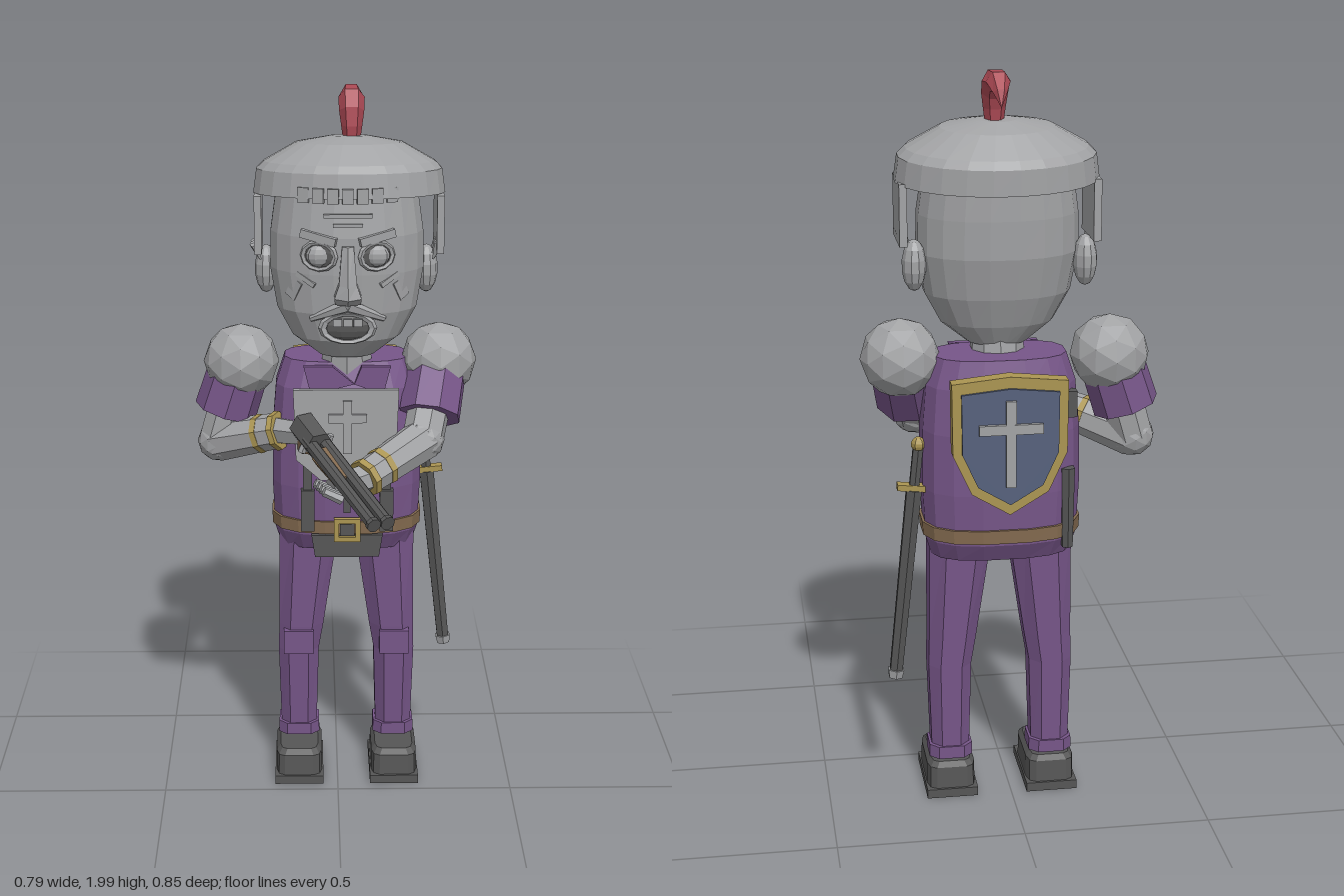
import * as THREE from 'three';

const C = 0.026; // body centre line in x
const V = (x, y, z) => new THREE.Vector3(x, y, z);

// Faceted solid through rings of [y, xCentre, halfWidth, zCentre, halfDepth]; p < 1 squares the rings off
function loft(rings, n = 16, p = 1) {
  const out = [];
  const pow = t => Math.sign(t) * Math.pow(Math.abs(t), p);
  const at = ([y, x, w, z, d], j) => {
    const a = (j % n + 0.5) / n * Math.PI * 2;
    return [x + w * pow(Math.cos(a)), y, z + d * pow(Math.sin(a))];
  };
  const first = rings[0], last = rings[rings.length - 1];
  for (let j = 0; j < n; j++) {
    for (let i = 0; i < rings.length - 1; i++) {
      const a = at(rings[i], j), b = at(rings[i], j + 1), c = at(rings[i + 1], j), d = at(rings[i + 1], j + 1);
      out.push(...a, ...c, ...b, ...b, ...c, ...d);
    }
    out.push(first[1], first[0], first[3], ...at(first, j), ...at(first, j + 1));
    out.push(last[1], last[0], last[3], ...at(last, j + 1), ...at(last, j));
  }
  const g = new THREE.BufferGeometry();
  g.setAttribute('position', new THREE.Float32BufferAttribute(out, 3));
  return g;
}

// Tapered prism from point a to point b
function limb(a, b, ra, rb, sides = 8) {
  const d = b.clone().sub(a), g = new THREE.CylinderGeometry(rb, ra, d.length(), sides);
  g.applyQuaternion(new THREE.Quaternion().setFromUnitVectors(V(0, 1, 0), d.normalize()));
  const m = a.clone().add(b).multiplyScalar(0.5);
  return g.translate(m.x, m.y, m.z);
}

const box = (w, h, d) => new THREE.BoxGeometry(w, h, d);
const ball = (x, y, z, n = 10) => new THREE.SphereGeometry(1, n, 7).scale(x, y, z);
function plate(points, depth) {
  const s = new THREE.Shape(points.map(([x, y]) => new THREE.Vector2(x, y)));
  return new THREE.ExtrudeGeometry(s, { depth, bevelEnabled: false });
}

export function createModel() {
  const root = new THREE.Group();
  const mat = (name, color) => Object.assign(new THREE.MeshStandardMaterial({ color }), { name });
  const steel = mat('steel grey', 0xa2a3a5), plum = mat('plum cloth', 0x775689), dark = mat('dark grey', 0x565656);
  const gold = mat('gold', 0xab9552), leather = mat('leather', 0x846b50), blue = mat('slate blue', 0x56617c), red = mat('red', 0xad4a55);

  const add = (name, geo, m, pos = [0, 0, 0], rot = [0, 0, 0]) => {
    const g = geo.index ? geo.toNonIndexed() : geo;
    g.computeVertexNormals(); // flat facets
    const mesh = new THREE.Mesh(g, m);
    mesh.name = name;
    mesh.position.set(...pos);
    mesh.rotation.set(...rot);
    root.add(mesh);
    return mesh;
  };

  // Legs and boots
  for (const s of [-1, 1]) {
    const x = C + s * 0.138;
    add('sole', box(0.14, 0.025, 0.235), dark, [x, 0.0125, -0.152]);
    add('boot', loft([[0.025, x, 0.067, -0.152, 0.112], [0.085, x, 0.066, -0.152, 0.108], [0.1, x, 0.055, -0.155, 0.095]], 12, 0.35), dark);
    add('trouserLeg', loft([[0.11, x, 0.054, -0.195, 0.056], [0.38, x, 0.062, -0.19, 0.07],
      [0.46, C + s * 0.13, 0.068, -0.188, 0.074], [0.78, C + s * 0.105, 0.092, -0.19, 0.085]], 8, 0.8), plum);
    add('ankleCuff', loft([[0.11, x, 0.062, -0.195, 0.062], [0.145, x, 0.061, -0.195, 0.062]], 8, 0.6), plum);
    add('kneePad', box(0.085, 0.07, 0.03), plum, [x, 0.415, -0.122]);
  }

  // Tunic, belt and fittings
  add('tunic', loft([[0.71, C, 0.19, -0.2, 0.11], [0.76, C, 0.205, -0.2, 0.138], [0.9, C, 0.212, -0.2, 0.145],
    [1.06, C, 0.21, -0.2, 0.142], [1.18, C, 0.2, -0.2, 0.125], [1.255, C, 0.175, -0.205, 0.1]], 16, 0.75), plum);
  add('belt', loft([[0.768, C, 0.212, -0.2, 0.146], [0.805, C, 0.214, -0.2, 0.148]], 16, 0.75), leather);
  add('skirtFlap', plate([[-0.1, 0.765], [-0.09, 0.7], [0.09, 0.7], [0.1, 0.765]], 0.02), dark, [C, 0, -0.075]);
  for (const s of [-1, 1]) {
    add('buckleSide', box(0.014, 0.065, 0.014), gold, [C + s * 0.03, 0.785, -0.044]);
    add('buckleBar', box(0.074, 0.014, 0.014), gold, [C, 0.785 + s * 0.027, -0.044]);
    add('beltPouch', box(0.038, 0.12, 0.03), dark, [C + s * 0.11, 0.84, -0.06]);
    add('strap', box(0.025, 0.11, 0.015), dark, [C + s * 0.11, 0.94, -0.062]);
    add('collar', plate([[0.02, 1.2], [s * 0.1, 1.17], [s * 0.12, 1.25], [s * 0.04, 1.25]], 0.02), plum, [C, 0, -0.095]);
  }
  add('buckleCore', box(0.04, 0.035, 0.008), dark, [C, 0.785, -0.046]);
  for (let i = 0; i < 2; i++) add('button', box(0.02, 0.05, 0.012), dark, [C, 0.86 + i * 0.07, -0.052]);
  add('backSheath', limb(V(-0.14, 0.74, -0.31), V(-0.14, 0.96, -0.31), 0.016, 0.02, 6), dark);
  add('backPouch', box(0.05, 0.07, 0.03), dark, [-0.14, 1.13, -0.29]);

  // Chest plate with a raised cross
  add('chestPlate', plate([[-0.145, 1.2], [-0.138, 1.0], [-0.07, 0.94], [0.07, 0.94], [0.138, 1.0], [0.145, 1.2]], 0.016), steel, [C - 0.004, 0, -0.036]);
  add('chestBacking', box(0.24, 0.2, 0.05), steel, [C, 1.08, -0.06]);
  add('chestCrossUpright', box(0.024, 0.15, 0.009), steel, [C, 1.095, -0.015]);
  add('chestCrossArm', box(0.105, 0.024, 0.009), steel, [C, 1.12, -0.015]);

  // Shield on the back
  const heater = k => [[-0.15, 0.17], [0, 0.185], [0.15, 0.17], [0.148, -0.02], [0.1, -0.125], [0, -0.185], [-0.1, -0.125], [-0.148, -0.02]]
    .map(([x, y]) => [x * k, y * k]);
  add('shieldRim', plate(heater(1), 0.042), gold, [C, 1.055, -0.402]);
  add('shieldFace', plate(heater(0.84), 0.02), blue, [C, 1.055, -0.41]);
  add('shieldCrossUpright', box(0.026, 0.23, 0.012), steel, [C, 1.065, -0.414]);
  add('shieldCrossArm', box(0.165, 0.026, 0.012), steel, [C, 1.105, -0.415]);

  // Neck and head
  add('neck', loft([[1.19, C, 0.075, -0.17, 0.075], [1.3, C, 0.07, -0.16, 0.07]], 10), steel);
  add('head', loft([[1.275, C, 0.08, -0.155, 0.07], [1.33, C, 0.15, -0.15, 0.108], [1.41, C, 0.193, -0.155, 0.135],
    [1.52, C, 0.212, -0.164, 0.152], [1.62, C, 0.21, -0.166, 0.155], [1.76, C, 0.19, -0.175, 0.145]], 20, 0.92), steel);
  add('nose', loft([[1.445, C, 0.04, -0.01, 0.035], [1.465, C, 0.042, 0, 0.055], [1.5, C, 0.028, 0, 0.045],
    [1.6, C, 0.018, -0.015, 0.022]], 6), steel);
  for (const s of [-1, 1]) {
    const x = C + s * 0.077;
    add('brow', box(0.1, 0.022, 0.03), steel, [x, 1.622, -0.025], [0, s * 0.3, s * 0.22]);
    add('eyeSocket', ball(0.052, 0.042, 0.014), dark, [x, 1.573, -0.026], [0, s * 0.35, 0]);
    add('eyelid', new THREE.TorusGeometry(0.046, 0.008, 5, 12).scale(1, 0.8, 1), steel, [x, 1.573, -0.018], [0, s * 0.35, 0]);
    add('eye', ball(0.035, 0.03, 0.02), steel, [x, 1.573, -0.021]);
    add('cheekCrease', box(0.06, 0.013, 0.02), steel, [C + s * 0.11, 1.505, -0.04], [0, s * 0.5, s * 0.5]);
    add('cheekPatch', box(0.035, 0.055, 0.02), steel, [C + s * 0.14, 1.475, -0.062], [0, s * 0.7, s * 0.5]);
    add('moustache', limb(V(C, 1.44, -0.005), V(C + s * 0.1, 1.395, -0.04), 0.02, 0.008, 6), steel);
    add('ear', ball(0.032, 0.068, 0.038), steel, [C + s * 0.222, 1.495, -0.22]);
    // Helmet cheek flap with ragged lower edge
    add('cheekFlap', box(0.02, 0.16, 0.165), steel, [C + 0.006 + s * 0.248, 1.635, -0.2]);
    for (let i = 0; i < 3; i++)
      add('flapStrip', limb(V(C + s * 0.252, 1.58, -0.14 - i * 0.03), V(C + s * 0.236, 1.535 + i * 0.01, -0.15 - i * 0.03), 0.016, 0.003, 4), steel);
  }
  add('mouth', ball(0.068, 0.038, 0.02), dark, [C, 1.375, -0.027]);
  add('lips', new THREE.TorusGeometry(0.068, 0.012, 5, 14).scale(1, 0.58, 1), steel, [C, 1.375, -0.02]);
  for (let i = -1; i < 2; i++) add('tooth', box(0.024, 0.02, 0.012), steel, [C + i * 0.028, 1.392, -0.008]);
  add('browWrinkle', box(0.13, 0.01, 0.015), steel, [C, 1.68, -0.022]);
  add('frownLine', box(0.08, 0.009, 0.015), steel, [C, 1.655, -0.019]);

  // Helmet with a notched visor and plume
  add('helmet', loft([[-0.03, 0, 0.264, 0, 0.193], [0.035, 0, 0.255, 0, 0.188], [0.055, 0, 0.235, 0, 0.174],
    [0.105, 0, 0.147, 0, 0.11], [0.122, 0, 0.05, 0, 0.04]], 24), steel, [C + 0.007, 1.742, -0.208], [-0.07, 0, 0]);
  for (let i = -3; i <= 3; i++)
    add('visorTooth', box(0.03, 0.04, 0.02), steel, [C + i * 0.039, 1.733, -0.016 - i * i * 0.0035], [0, i * 0.1, 0]);
  const curve = new THREE.CatmullRomCurve3([V(0.04, 1.85, -0.215), V(0.04, 1.925, -0.22), V(0.04, 1.968, -0.255), V(0.04, 1.955, -0.305), V(0.04, 1.91, -0.34)]);
  const plume = new THREE.TubeGeometry(curve, 6, 0.036, 6), pp = plume.attributes.position;
  const taper = [0.65, 0.8, 0.95, 1, 0.85, 0.5, 0.02], v = V(0, 0, 0);
  for (let i = 0; i < pp.count; i++) {
    const r = Math.floor(i / 7), c = curve.getPointAt(r / 6);
    v.fromBufferAttribute(pp, i).sub(c).multiplyScalar(taper[r]).add(c);
    pp.setXYZ(i, v.x, v.y, v.z);
  }
  add('plume', plume, red);

  // Arms: shoulder ball, sleeve, forearm, gold cuffs, hand
  const arm = (side, sh, sl, el, wr, ha) => {
    add(side + 'Shoulder', new THREE.IcosahedronGeometry(0.106, 1), steel, sh.toArray());
    add(side + 'Sleeve', limb(sh, sl, 0.085, 0.088, 8), plum);
    add(side + 'UpperArm', limb(sh, el, 0.06, 0.058, 8), steel);
    add(side + 'Elbow', new THREE.IcosahedronGeometry(0.06, 1), steel, el.toArray());
    add(side + 'Forearm', limb(el, wr, 0.06, 0.05, 8), steel);
    for (const t of [0.72, 1]) {
      const a = el.clone().lerp(wr, t - 0.04), b = el.clone().lerp(wr, t + 0.04);
      add(side + 'Cuff', limb(a, b, 0.056, 0.054, 8), gold);
    }
    add(side + 'Hand', limb(wr, ha, 0.04, 0.034, 6), steel);
  };
  arm('right', V(-0.268, 1.236, -0.2), V(-0.315, 1.09, -0.2), V(-0.335, 1.005, -0.19), V(-0.165, 1.06, -0.1), V(-0.075, 1.075, -0.015));
  arm('left', V(0.284, 1.242, -0.188), V(0.255, 1.105, -0.09), V(0.235, 1.05, -0.045), V(0.075, 0.985, 0.09), V(-0.02, 0.965, 0.135));
  for (let i = 0; i < 4; i++) {
    const z = 0.115 + i * 0.023;
    add('leftFinger', limb(V(-0.01 + i * 0.006, 0.955, z), V(-0.065 + i * 0.008, 0.98, z + 0.005), 0.015, 0.013, 6), steel);
    add('rightFinger', limb(V(-0.1 + i * 0.02, 1.04, 0.03), V(-0.08 + i * 0.02, 1.09, 0.035), 0.012, 0.01, 6), steel);
  }

  // Double-barrelled gun
  const A = V(-0.095, 1.1, -0.02), B = V(0.103, 0.965, 0.405);
  const along = (t, o = 0, dy = 0) => A.clone().lerp(B, t).add(V(0.9 * o, dy, -0.42 * o));
  for (const s of [-1, 1]) {
    add('barrel', limb(along(0.15, s * 0.02), along(1, s * 0.02), 0.019, 0.017, 8), dark);
    add('muzzleRing', limb(along(0.98, s * 0.02), along(1.005, s * 0.02), 0.02, 0.02, 8), dark);
  }
  add('receiver', limb(along(0), along(0.22), 0.042, 0.04, 6), dark);
  add('foreStock', limb(along(0.26, 0, -0.018), along(0.55, 0, -0.016), 0.032, 0.026, 6), leather);
  add('gunGrip', limb(along(0.06), V(-0.09, 1.03, -0.02), 0.026, 0.022, 6), leather);

  // Sword at the left hip
  const top = V(0.245, 1.02, -0.24), tip = V(0.315, 0.36, -0.24);
  const sword = t => top.clone().lerp(tip, t);
  add('swordGrip', limb(sword(0.02), sword(0.18), 0.015, 0.015, 6), dark);
  add('pommel', ball(0.02, 0.02, 0.02, 6), gold, top.toArray());
  add('crossguard', box(0.09, 0.016, 0.03), gold, sword(0.18).toArray(), [0, 0, 0.1]);
  add('scabbard', limb(sword(0.19), sword(0.97), 0.023, 0.019, 6), dark);
  add('scabbardTip', limb(sword(0.965), sword(1), 0.024, 0.02, 6), steel);

  return root;
}
